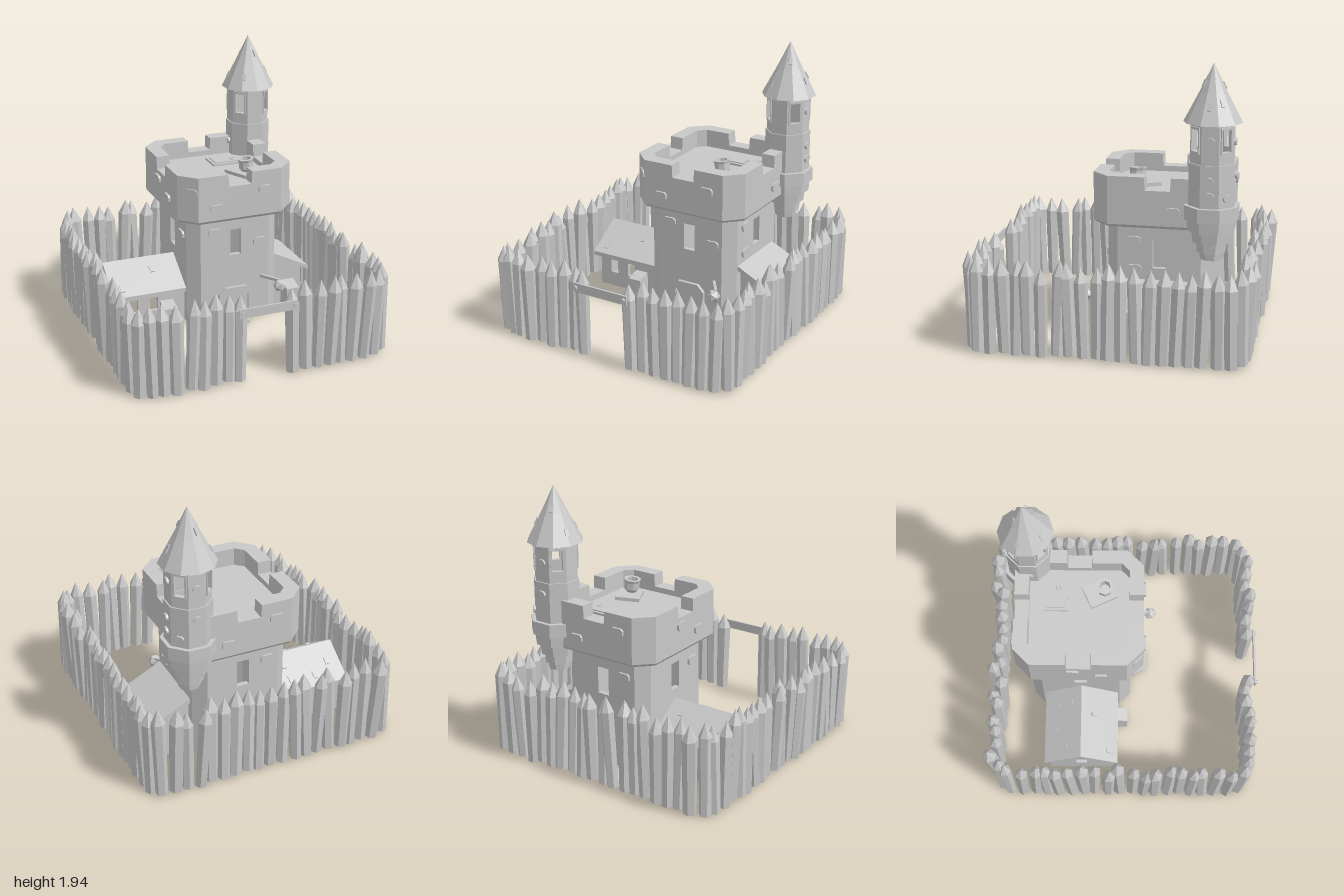
import * as THREE from 'three';

const stone = new THREE.MeshStandardMaterial({ color: 0xc8c8c8, side: THREE.DoubleSide });
stone.name = 'pale grey';

const CX = 0.13, CZ = -0.315; // keep centre
const TX = 0.525, TZ = -0.675; // turret centre

function flat(geo) {
  const g = geo.index ? geo.toNonIndexed() : geo;
  g.computeVertexNormals();
  return g;
}

function add(parent, name, geo, pos = [0, 0, 0], rot = [0, 0, 0]) {
  const m = new THREE.Mesh(flat(geo), stone);
  m.name = name;
  m.position.set(...pos);
  m.rotation.set(...rot);
  parent.add(m);
  return m;
}
const box = (w, h, d) => new THREE.BoxGeometry(w, h, d);
const poly = (pts) => new THREE.Shape(pts.map(([x, y]) => new THREE.Vector2(x, y)));
const extrude = (shape, depth) => new THREE.ExtrudeGeometry(shape, { depth, bevelEnabled: false });
const lathe = (pts, n) => new THREE.LatheGeometry(pts.map(([x, y]) => new THREE.Vector2(x, y)), n);

// Rectangle with cut corners, [x, z] pairs
function octagon(hx, hz, c) {
  return [[-hx + c, hz], [hx - c, hz], [hx, hz - c], [hx, -hz + c],
    [hx - c, -hz], [-hx + c, -hz], [-hx, -hz + c], [-hx, hz - c]];
}

// One upright panel per edge; makeShape(index, length) draws it with x centred
function panels(parent, name, pts, thick, makeShape) {
  pts.forEach((p, i) => {
    const q = pts[(i + 1) % pts.length];
    const dx = q[0] - p[0], dz = q[1] - p[1], len = Math.hypot(dx, dz);
    const nx = -dz / len, nz = dx / len;
    add(parent, name, extrude(makeShape(i, len), thick),
      [(p[0] + q[0]) / 2 - nx * thick, 0, (p[1] + q[1]) / 2 - nz * thick], [0, Math.atan2(nx, nz), 0]);
  });
}
const rect = (x0, y0, x1, y1) => poly([[x0, y0], [x1, y0], [x1, y1], [x0, y1]]);
const archPts = (w, y0, y1, c) => [[-w, y0], [w, y0], [w, y1 - c], [w - c, y1], [-w + c, y1], [-w, y1 - c]];

// Surface through stacked rings [y, points]
function loft(rings) {
  const pos = [], idx = [], n = rings[0][1].length;
  rings.forEach(([y, pts]) => pts.forEach(([x, z]) => pos.push(x, y, z)));
  for (let r = 0; r < rings.length - 1; r++) for (let i = 0; i < n; i++) {
    const a = r * n + i, b = r * n + (i + 1) % n;
    idx.push(a, b, b + n, a, b + n, a + n);
  }
  const g = new THREE.BufferGeometry();
  g.setAttribute('position', new THREE.Float32BufferAttribute(pos, 3));
  g.setIndex(idx);
  return g;
}

// Proud stone block with cut corners, facing the given heading
function brick(parent, x, y, z, heading = 0, w = 0.1, h = 0.06) {
  const pts = octagon(w / 2, h / 2, 0.015);
  add(parent, 'proudStone', extrude(poly(pts), 0.024),
    [x - Math.sin(heading) * 0.008, y, z - Math.cos(heading) * 0.008], [0, heading, 0]);
}

function makeKeep() {
  const g = new THREE.Group();
  g.name = 'keep';
  g.position.set(CX, 0, CZ);
  const body = octagon(0.345, 0.365, 0.08);
  // Walls: a door in front and a slit window on each broad side
  panels(g, 'keepWall', body, 0.035, (i, len) => {
    const s = rect(-len / 2, 0.02, len / 2, 0.83);
    if (i % 2 === 0) s.holes.push(rect(-0.045, 0.53, 0.045, 0.725));
    return s;
  });
  // Door and frame
  const frame = poly(archPts(0.13, 0.03, 0.28, 0.05));
  frame.holes.push(poly(archPts(0.1, 0.03, 0.25, 0.04)));
  add(g, 'doorFrame', extrude(frame, 0.03), [0, 0, 0.36]);
  add(g, 'door', extrude(poly(archPts(0.1, 0.03, 0.25, 0.04)), 0.008), [0, 0, 0.363]);
  add(g, 'doorstep', extrude(poly([[-0.14, 0], [0.14, 0], [0.07, 0.13], [-0.07, 0.13]]), 0.02),
    [0, 0.045, 0.355], [Math.PI / 2, 0, 0]);
  // Overhanging parapet with one notch per broad side
  add(g, 'parapetSkirt', loft([[0.83, octagon(0.33, 0.35, 0.08)], [0.83, octagon(0.415, 0.44, 0.11)],
    [0.85, octagon(0.43, 0.455, 0.115)]]));
  panels(g, 'parapet', octagon(0.43, 0.455, 0.115), 0.1, (i, len) => {
    const h = len / 2;
    if (i % 2) return rect(-h, 0.85, h, 1.18);
    return poly([[-h, 0.85], [h, 0.85], [h, 1.18], [0.09, 1.18], [0.085, 1.09], [-0.085, 1.09], [-0.09, 1.18], [-h, 1.18]]);
  });
  add(g, 'roofDeck', extrude(poly(octagon(0.4, 0.42, 0.11)), 0.03), [0, 1.05, 0], [Math.PI / 2, 0, 0]);
  // Deck fittings: hatch, leaning board and pot
  add(g, 'hatchFrame', box(0.22, 0.02, 0.17), [0.125, 1.055, -0.17]);
  add(g, 'hatch', box(0.18, 0.02, 0.13), [0.125, 1.062, -0.17]);
  add(g, 'hatchRing', new THREE.TorusGeometry(0.016, 0.005, 5, 8), [0.185, 1.075, -0.15], [Math.PI / 2, 0, 0]);
  add(g, 'loosePlank', box(0.17, 0.025, 0.2), [0.15, 1.075, 0.14], [0, 0.45, 0.05]);
  add(g, 'pot', lathe([[0.03, 0], [0.055, 0.03], [0.055, 0.08], [0.062, 0.1], [0.04, 0.1], [0.035, 0.03], [0, 0.03]], 8),
    [0.165, 1.085, 0.18], [0, 0, 0.12]);
  // Proud stones: [side, offset along side, height]
  [[0, -0.35, 1.065, 1], [0, 0.19, 1.04, 1], [0, -0.18, 0.94, 1], [0, -0.16, 0.72], [0, 0.19, 0.61],
    [1, -0.175, 0.72], [1, -0.17, 0.52], [1, 0.1, 0.95, 1], [2, 0.2, 1.06, 1], [2, -0.15, 0.94, 1], [2, 0.18, 0.7],
    [3, 0.15, 0.95, 1], [3, -0.05, 1.03, 1], [3, 0.2, 0.68]].forEach(([side, o, y, top]) => {
    const r = top ? 0.43 : 0.345, d = side % 2 ? r : r + (top ? 0.025 : 0.02), a = side * Math.PI / 2;
    const ca = Math.abs(o) > 0.33; // on a cut corner
    const h = ca ? a + Math.sign(o) * Math.PI / 4 : a;
    const dd = ca ? d - 0.045 : d;
    brick(g, Math.sin(a) * dd + Math.cos(a) * o, y, Math.cos(a) * dd - Math.sin(a) * o, h);
  });
  // Wall lantern on the front corner
  add(g, 'lanternArm', box(0.02, 0.02, 0.16), [0.25, 0.33, 0.43], [0, 0.6, 0]);
  add(g, 'lantern', new THREE.IcosahedronGeometry(0.048, 0), [0.29, 0.3, 0.515]);
  return g;
}

function makeTurret() {
  const g = new THREE.Group();
  g.name = 'turret';
  g.position.set(TX, 0, TZ);
  // Stepped corbel and shaft
  add(g, 'turretShaft', lathe([[0, 0.64], [0.075, 0.64], [0.082, 0.69], [0.1, 0.69], [0.105, 0.76], [0.13, 0.76], [0.138, 0.84],
    [0.165, 0.84], [0.17, 0.92], [0.19, 0.92], [0.19, 1.015], [0.162, 1.015], [0.162, 1.3], [0.12, 1.3]], 8), [0, 0, 0], [0, Math.PI / 8, 0]);
  // Lookout room, windows on the diagonal sides
  const ring = [];
  for (let i = 0; i < 8; i++) {
    const a = -Math.PI / 8 + i * Math.PI / 4;
    ring.push([Math.sin(a) * 0.152, Math.cos(a) * 0.152]);
  }
  panels(g, 'lookoutWall', ring, 0.022, (i, len) => {
    const s = rect(-len / 2, 1.3, len / 2, 1.58);
    if (i % 2) s.holes.push(rect(-0.035, 1.385, 0.035, 1.53));
    return s;
  });
  for (let i = 0; i < 4; i++) {
    const a = Math.PI / 4 + i * Math.PI / 2;
    const f = rect(-0.046, 1.37, 0.046, 1.545);
    f.holes.push(rect(-0.035, 1.385, 0.035, 1.53));
    add(g, 'windowFrame', extrude(f, 0.01), [Math.sin(a) * 0.14, 0, Math.cos(a) * 0.14], [0, a, 0]);
  }
  // Pointed roof with a few raised shingles
  add(g, 'turretRoof', lathe([[0.13, 1.575], [0.195, 1.565], [0.09, 1.765], [0, 1.95]], 10));
  [[0.5, 1.82], [-0.6, 1.66], [2.2, 1.7], [3.6, 1.8], [4.4, 1.65], [1.5, 1.68]].forEach(([a, y]) => {
    const r = (1.95 - y) * 0.49, pivot = new THREE.Group();
    pivot.name = 'shingleMount';
    pivot.rotation.y = a;
    add(pivot, 'shingle', box(0.025, 0.05, 0.012), [0, y, r], [-0.46, 0, 0]);
    g.add(pivot);
  });
  [[1, 1.2, 0.15], [1, 1.46, 0.14], [2, 1.1, 0.15], [4, 1.22, 0.15], [3, 1.08, 0.15], [6, 1.15, 0.15], [4, 1.44, 0.14]].forEach(([k, y, r]) => {
    const a = k * Math.PI / 4 + (k === 1 ? Math.PI / 4 : 0);
    brick(g, Math.sin(a) * r, y, Math.cos(a) * r, a, 0.06, 0.045);
  });
  return g;
}

function makeHouse() {
  const g = new THREE.Group();
  g.name = 'sideHouse';
  const z0 = -0.53, z1 = -0.09, zr = -0.31;
  // Long walls with small windows and the gable end
  [z0, z1].forEach((z) => {
    const s = rect(-0.72, 0.02, -0.2, 0.29);
    [-0.6, -0.45].forEach((x) => s.holes.push(rect(x - 0.03, 0.13, x + 0.03, 0.23)));
    add(g, 'houseWall', extrude(s, 0.025), [0, 0, z - 0.0125]);
  });
  const gable = poly([[-0.22, 0.02], [0.22, 0.02], [0.22, 0.28], [0, 0.44], [-0.22, 0.28]]);
  gable.holes.push(rect(-0.04, 0.13, 0.04, 0.25));
  add(g, 'gableWall', extrude(gable, 0.025), [-0.72, 0, zr], [0, Math.PI / 2, 0]);
  // Pitched roof
  const roof = poly([[-0.27, 0.255], [0, 0.43], [0.27, 0.255], [0.27, 0.285], [0, 0.46], [-0.27, 0.285]]);
  add(g, 'houseRoof', extrude(roof, 0.55), [-0.76, 0, zr], [0, Math.PI / 2, 0]);
  [[-0.66, -0.44], [-0.53, -0.51], [-0.42, -0.21], [-0.68, -0.1], [-0.34, -0.5], [-0.33, -0.4]].forEach(([x, z]) => {
    const s = Math.sign(z - zr);
    add(g, 'roofTile', box(0.03, 0.014, 0.055), [x, 0.462 - Math.abs(z - zr) * 0.65, z], [s * 0.575, 0, 0]);
  });
  // Small sloped buttresses against the keep
  [[-0.355, 0.2], [0.61, 0.2]].forEach(([x, y]) =>
    add(g, 'buttress', extrude(poly([[-0.09, 0.02], [0.03, 0.02], [0.03, y - 0.03], [-0.09, y]]), 0.1), [x + 0.05, 0, 0], [0, -Math.PI / 2, 0]));
  return g;
}

function makeLeanTo() {
  const g = new THREE.Group();
  g.name = 'leanTo';
  const side = poly([[0.44, 0.02], [0.72, 0.02], [0.72, 0.3], [0.44, 0.45]]);
  [-0.53, -0.1].forEach((z) => add(g, 'leanToSide', extrude(side, 0.025), [0, 0, z - 0.0125]));
  add(g, 'leanToWall', box(0.025, 0.28, 0.43), [0.71, 0.16, -0.31]);
  add(g, 'leanToRoof', extrude(poly([[0.44, 0.43], [0.76, 0.275], [0.76, 0.305], [0.44, 0.465]]), 0.53), [0, 0, -0.57]);
  return g;
}

function makeFence() {
  const g = new THREE.Group();
  g.name = 'palisade';
  let seed = 7;
  const rnd = () => (seed = (seed * 16807) % 2147483647) / 2147483647 - 0.5;
  // Rounded rectangle with a gateway left open at the front
  const c = 0.14, X = 0.9, F = 0.91, B = -0.935;
  const path = new THREE.Path();
  path.moveTo(0.2, F);
  [[X, F, -c, 0, 0, -c], [X, B, 0, c, -c, 0], [-X, B, c, 0, 0, c], [-X, F, 0, -c, c, 0]].forEach(([x, z, ax, az, bx, bz]) => {
    path.lineTo(x + ax, z + az);
    path.quadraticCurveTo(x, z, x + bx, z + bz);
  });
  path.lineTo(-0.18, F);
  path.getSpacedPoints(75).forEach((p) => {
    const h = 0.53 + rnd() * 0.05, r = 0.05 + rnd() * 0.008;
    add(g, 'stake', lathe([[0, 0], [r * 0.86, 0], [r, h], [0, h + 0.105]], 6),
      [p.x + rnd() * 0.02, 0.018 + rnd() * 0.02, p.y + rnd() * 0.025], [rnd() * 0.09, rnd() * 2, rnd() * 0.11]);
  });
  // Beam across the gateway
  add(g, 'gateBeam', box(0.42, 0.065, 0.014), [-0.01, 0.527, 0.968]);
  [-0.2, 0.18].forEach((x) =>
    add(g, 'beamPeg', new THREE.CylinderGeometry(0.014, 0.014, 0.05, 6), [x, 0.53, 0.965], [Math.PI / 2, 0, 0]));
  return g;
}

export function createModel() {
  const model = new THREE.Group();
  model.name = 'stockadeKeep';
  model.add(makeKeep(), makeTurret(), makeHouse(), makeLeanTo(), makeFence());
  return model;
}
